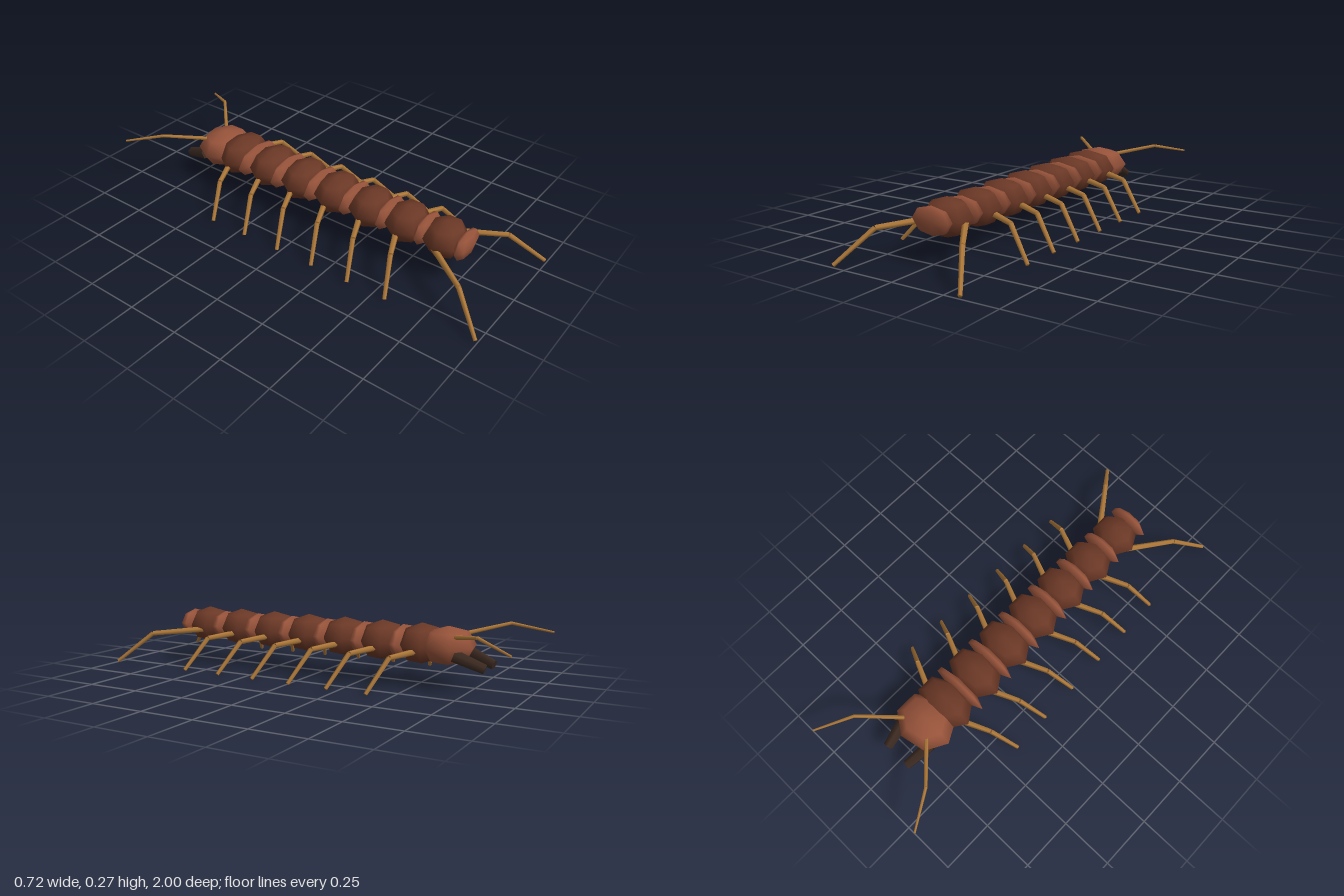
import * as THREE from 'three';

const material = (name, color) => {
  const m = new THREE.MeshStandardMaterial({ color });
  m.name = name;
  return m;
};

export function createModel() {
  const shell = material('dark brown shell', 0x6b3826);
  const rust = material('rust', 0x97533a);
  const amber = material('amber', 0xb07a3a);
  const dark = material('dark fang', 0x3c2a21);

  const model = new THREE.Group();
  model.name = 'centipede';
  const ball = new THREE.SphereGeometry(1, 7, 4);

  // Low-poly ellipsoid on the body axis
  function blob(name, mat, y, z, rx, ry, rz) {
    const mesh = new THREE.Mesh(ball, mat);
    mesh.name = name;
    mesh.position.set(0, y, z);
    mesh.scale.set(rx, ry, rz);
    model.add(mesh);
  }

  // Tapered rod between two points
  function rod(group, name, mat, a, b, ra, rb) {
    const start = new THREE.Vector3(...a), end = new THREE.Vector3(...b);
    const dir = end.clone().sub(start);
    const mesh = new THREE.Mesh(new THREE.CylinderGeometry(rb, ra, dir.length(), 5), mat);
    mesh.name = name;
    mesh.position.copy(start).add(end).multiplyScalar(0.5);
    mesh.quaternion.setFromUnitVectors(new THREE.Vector3(0, 1, 0), dir.normalize());
    group.add(mesh);
  }

  // Mirrored pair of jointed limbs, points given for the +x side
  function limbPair(name, mat, points, radii) {
    for (const side of [1, -1]) {
      const limb = new THREE.Group();
      limb.name = (side > 0 ? 'left' : 'right') + name;
      const p = points.map(([x, y, z]) => [x * side, y, z]);
      for (let i = 0; i + 1 < p.length; i++) {
        rod(limb, 'joint' + (i + 1), mat, p[i], p[i + 1], radii[i][0], radii[i][1]);
      }
      model.add(limb);
    }
  }

  // Head, fangs and antennae
  blob('head', rust, 0.178, -0.623, 0.145, 0.087, 0.125);
  limbPair('Fang', dark, [[0.085, 0.15, -0.68], [0.062, 0.1, -0.812]], [[0.03, 0.023]]);
  limbPair('Antenna', amber,
    [[0.07, 0.228, -0.68], [0.225, 0.262, -0.83], [0.322, 0.22, -0.998]],
    [[0.01, 0.008], [0.008, 0.005]]);

  // Body segments, each followed by a thin joint ring
  const count = 7;
  for (let i = 0; i < count; i++) {
    const z = -0.5 + i * 0.1925;
    const width = 0.146 - i * 0.0055;
    blob('segment' + (i + 1), shell, 0.178, z, width, 0.092 - i * 0.0008, 0.1);
    blob('ring' + (i + 1), rust, 0.184, z + 0.092 + i * 0.001, width - i * 0.0015, 0.072 - i * 0.0015, 0.03);

    // Walking legs, with longer trailing legs on the last segment
    if (i < count - 1) {
      const inset = i * 0.004;
      limbPair('Leg' + (i + 1), amber,
        [[0.09 - inset, 0.158, z - 0.015], [0.235 - inset, 0.147, z + 0.05], [0.352 - inset, 0.007, z + 0.103]],
        [[0.015, 0.012], [0.012, 0.009]]);
    } else {
      limbPair('TrailingLeg', amber,
        [[0.08, 0.16, 0.64], [0.222, 0.143, 0.845], [0.32, 0.007, 0.99]],
        [[0.015, 0.012], [0.012, 0.009]]);
    }
  }
  return model;
}
